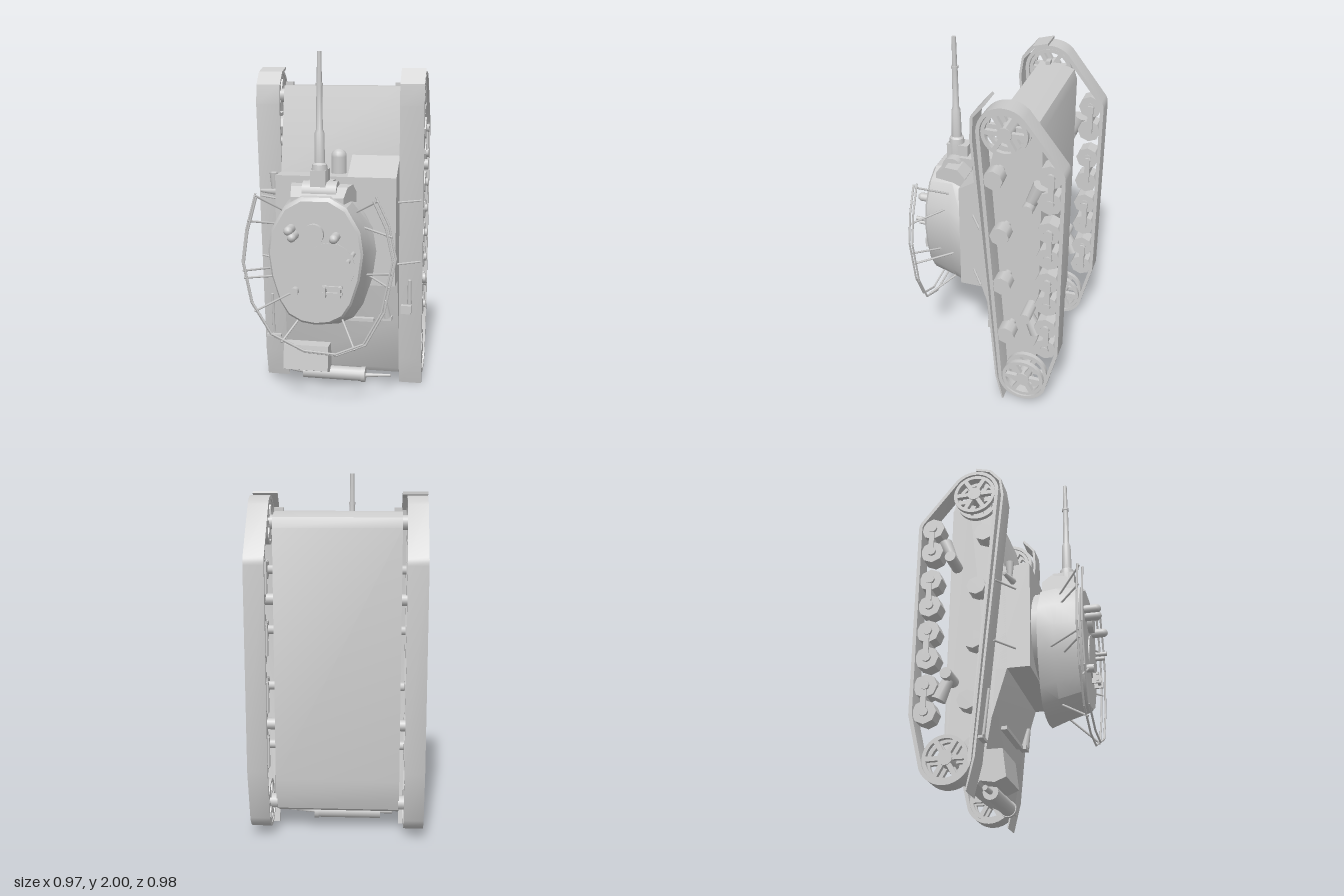
import * as THREE from 'three';
import { toCreasedNormals } from 'three/addons/utils/BufferGeometryUtils.js';

const V = (x, y, z) => new THREE.Vector3(x, y, z);

export function createModel() {
  const root = new THREE.Group();
  const mat = new THREE.MeshStandardMaterial({ color: 0xcccccc, side: THREE.DoubleSide });

  const add = (name, geo, x = 0, y = 0, z = 0) => {
    const m = new THREE.Mesh(geo, mat);
    m.name = name;
    m.position.set(x, y, z);
    root.add(m);
    return m;
  };
  const box = (name, x0, x1, y0, y1, z0, z1) =>
    add(name, new THREE.BoxGeometry(x1 - x0, y1 - y0, z1 - z0), (x0 + x1) / 2, (y0 + y1) / 2, (z0 + z1) / 2);
  // cylinder between two points
  const rod = (name, a, b, r0, r1 = r0, n = 8) => {
    const d = b.clone().sub(a);
    const m = add(name, new THREE.CylinderGeometry(r1, r0, d.length(), n), ...a.clone().add(b).multiplyScalar(0.5));
    m.quaternion.setFromUnitVectors(V(0, 1, 0), d.normalize());
    return m;
  };
  // [z, y] side profile, swept across x
  const toShape = (pts) => new THREE.Shape(pts.map(([z, y]) => new THREE.Vector2(-z, y)));
  const sweep = (name, shape, x0, x1, crease = 0.5) => {
    const g = new THREE.ExtrudeGeometry(shape, { depth: x1 - x0, bevelEnabled: false, curveSegments: 20 });
    g.rotateY(Math.PI / 2);
    return add(name, toCreasedNormals(g, crease), x0, 0, 0);
  };

  // ---- hull ----
  sweep('hull', toShape([
    [-0.12, 1.8], [-0.24, 1.8], [-0.315, 1.775], [-0.333, 1.72], [-0.335, 0.32], [-0.325, 0.22], [-0.3, 0.14],
    [-0.15, 0.07], [-0.13, 0.1], [-0.08, 0.42], [0, 0.69], [-0.02, 1.31],
  ]), -0.345, 0.345, 0.7);
  sweep('superstructure', toShape([[0.125, 0.69], [0.125, 1.31], [-0.06, 1.31], [-0.06, 0.69]]), -0.345, 0.345);
  sweep('driverHood', toShape([[0.125, 1.31], [-0.05, 1.42], [-0.08, 1.31]]), 0.07, 0.345);
  rod('gunBall', V(-0.005, 1.28, -0.025), V(-0.005, 1.405, -0.025), 0.045, 0.045, 16);
  add('gunBallCap', new THREE.SphereGeometry(0.045, 16, 10), -0.005, 1.405, -0.025);
  box('engineVent', -0.16, 0.2, 0.415, 0.435, -0.09, -0.045);
  sweep('rearStowageBox', toShape([[-0.02, 0.25], [0, 0.1], [-0.06, 0.075], [-0.15, 0.09], [-0.12, 0.25]]), -0.345, -0.07);

  // ---- exhaust ----
  rod('muffler', V(-0.24, 0.055, -0.11), V(0.13, 0.055, -0.11), 0.042, 0.042, 16);
  rod('mufflerEnd', V(0.12, 0.055, -0.11), V(0.145, 0.055, -0.11), 0.047, 0.047, 16);
  rod('inletPipe', V(-0.31, 0.06, -0.12), V(-0.24, 0.055, -0.11), 0.015);
  rod('tailpipe', V(0.14, 0.05, -0.11), V(0.3, 0.06, -0.11), 0.014, 0.007);

  // ---- running gear ----
  const wheelY = [1.54, 1.39, 1.21, 1.05, 0.895, 0.74, 0.58, 0.435];
  const rollers = [[-0.11, 1.475], [-0.145, 1.14], [-0.155, 0.82], [-0.18, 0.48]];
  const ends = [[-0.17, 1.74, 0.145], [-0.285, 0.18, 0.143]];
  const loopCircles = [...ends, [-0.41, 1.54, 0.08], [-0.41, 0.435, 0.08]];
  // taut loop around the wheels: the furthest circle point in each direction
  const beltPoints = (inset) => {
    const pts = [];
    for (let i = 0; i < 32; i++) {
      const a = (i / 32) * Math.PI * 2, c = Math.cos(a), s = Math.sin(a);
      const [z, y, r] = loopCircles.reduce((p, q) => (q[0] * c + q[1] * s + q[2] > p[0] * c + p[1] * s + p[2] ? q : p));
      pts.push([z + (r - inset) * c, y + (r - inset) * s]);
    }
    return pts;
  };
  const belt = toShape(beltPoints(0));
  belt.holes.push(toShape(beltPoints(0.02)));

  const spokedDisc = (z, y, r) => {
    const s = new THREE.Shape().absarc(-z, y, r, 0, Math.PI * 2);
    for (let i = 0; i < 6; i++) {
      const a = (i * Math.PI) / 3, h = new THREE.Path();
      h.absarc(-z, y, r * 0.84, a + 0.12, a + 0.92, false);
      h.absarc(-z, y, r * 0.3, a + 0.72, a + 0.32, true);
      h.closePath();
      s.holes.push(h);
    }
    return s;
  };
  // the left fender ends in a raised flap, the right one hugs the track
  const fender = (tipOuter, tipInner) => toShape([
    ...tipOuter, [0.006, 1.7], [-0.125, 0.17], [-0.165, 0], [-0.172, 0.004], [-0.137, 0.17], [-0.008, 1.7], ...tipInner,
  ]);
  const fenders = {
    1: fender([[-0.07, 1.905], [0, 1.82]], [[-0.014, 1.815], [-0.08, 1.893]]),
    [-1]: fender([[-0.16, 1.905], [-0.07, 1.88], [-0.01, 1.81]], [[-0.022, 1.8], [-0.08, 1.868], [-0.16, 1.89]]),
  };

  for (const side of [1, -1]) {
    const span = (a, b) => (side > 0 ? [a, b] : [-b, -a]);
    const X = (x) => x * side;
    const axle = (name, z, y, r, a, b, n) => rod(name, V(X(a), y, z), V(X(b), y, z), r, r, n);

    sweep('track', belt, ...span(0.37, 0.48));
    sweep('fender', fenders[side], ...span(0.345, 0.482));
    for (const [z, y] of ends) {
      sweep('spokedWheel', spokedDisc(z, y, 0.122), ...span(0.445, 0.47));
      sweep('spokedWheel', spokedDisc(z, y, 0.122), ...span(0.375, 0.4));
      axle('wheelHub', z, y, 0.04, 0.34, 0.475, 12);
    }
    for (const y of wheelY) {
      const w = axle('roadWheel', -0.41, y, 0.066, 0.38, 0.465, 8);
      w.geometry = toCreasedNormals(w.geometry, 0.3);
      axle('roadWheelCap', -0.41, y, 0.025, 0.375, 0.48, 8);
    }
    for (let i = 0; i < 8; i += 2) {
      const y = (wheelY[i] + wheelY[i + 1]) / 2;
      box('bogieBeam', ...span(0.365, 0.474), y - 0.085, y + 0.085, -0.43, -0.4);
    }
    for (const [z, y] of rollers) {
      axle('returnRoller', z, y, 0.054, 0.4, 0.475, 8);
      axle('rollerAxle', z, y, 0.025, 0.34, 0.41, 8);
    }
    // suspension units beside the outer bogies
    for (const [y, dir] of [[1.39, -1], [0.58, 1]]) {
      rod('springHousing', V(X(0.42), y + 0.07 * -dir, -0.35), V(X(0.42), y + 0.04 * dir, -0.3), 0.042, 0.03, 10);
      axle('suspensionMount', -0.295, y + 0.055 * dir, 0.032, 0.34, 0.486, 10);
    }
    box('towHook', ...span(0.3, 0.345), 1.78, 1.82, -0.185, -0.16);
    for (const y of [1.16, 0.8]) rod('fenderStay', V(X(0.345), y, 0.045), V(X(0.47), y, -0.04), 0.006);
  }

  // ---- fender fittings ----
  rod('shovelHandle', V(-0.425, 0.3, -0.1), V(-0.425, 0.55, -0.075), 0.008);
  box('shovelBlade', -0.47, -0.38, 0.27, 0.285, -0.12, -0.09);
  rod('jackBody', V(0.41, 0.53, -0.075), V(0.41, 0.68, -0.06), 0.014, 0.01);
  box('jackFoot', 0.36, 0.42, 0.47, 0.52, -0.1, -0.06);
  rod('clampPost', V(0.28, 0.45, -0.05), V(0.27, 0.56, -0.025), 0.025, 0.012);
  box('clampFoot', 0.24, 0.31, 0.43, 0.455, -0.08, -0.035);
  rod('horn', V(-0.38, 1.2, 0.02), V(-0.38, 1.31, 0.02), 0.013, 0.025, 10);
  rod('sideLamp', V(-0.46, 1.2, 0.01), V(-0.36, 1.2, 0.035), 0.01, 0.02, 6);

  // ---- turret shell, lofted from scaled outlines ----
  const half = [[0.3, 1], [0.65, 0.85], [0.93, 0.5], [1, 0.15], [0.93, -0.25], [0.76, -0.65], [0.58, -0.86], [0.3, -0.97]];
  const outline = [...half, [0, -1], ...half.map(([u, v]) => [-u, v]).reverse()].reverse();
  const sections = [ // z, half width, rear y, front y
    [0.165, 0.302, 0.455, 1.23], [0.25, 0.275, 0.485, 1.25], [0.385, 0.262, 0.525, 1.235], [0.4, 0.25, 0.54, 1.215],
  ];
  const n = outline.length, pos = [], idx = [];
  for (const [z, w, y0, y1] of sections)
    for (const [u, v] of outline) pos.push(-0.06 + u * w, (y0 + y1) / 2 + (v * (y1 - y0)) / 2, z);
  for (let s = 0; s < sections.length - 1; s++)
    for (let i = 0; i < n; i++) {
      const a = s * n + i, b = s * n + ((i + 1) % n);
      idx.push(a, b + n, b, a, a + n, b + n);
    }
  for (let i = 1; i < n - 1; i++) {
    const t = (sections.length - 1) * n;
    idx.push(t, t + i + 1, t + i, 0, i, i + 1);
  }
  // the outline runs clockwise seen from above the roof only when reversed, so wind to match
  const area = outline.reduce((sum, [u, v], i) => {
    const [p, q] = outline[(i + 1) % n];
    return sum + u * q - p * v;
  }, 0);
  if (area > 0) idx.reverse();
  const shell = new THREE.BufferGeometry();
  shell.setAttribute('position', new THREE.Float32BufferAttribute(pos, 3));
  shell.setIndex(idx);
  add('turretShell', toCreasedNormals(shell, 0.5));
  rod('turretRing', V(-0.055, 0.96, 0.11), V(-0.055, 0.96, 0.18), 0.27, 0.27, 32);

  // ---- gun ----
  const shield = sweep('gunShield', toShape([
    [0.17, 1.15], [0.17, 1.24], [0.22, 1.285], [0.3, 1.28], [0.36, 1.23], [0.36, 1.15],
  ]), -0.2, 0.09);
  // cheeks widen toward the turret base
  const sp = shield.geometry.attributes.position;
  for (let i = 0; i < sp.count; i++)
    sp.setX(i, sp.getX(i) + Math.sign(sp.getX(i) - 0.145) * 0.2 * (0.36 - sp.getZ(i)));
  shield.geometry = toCreasedNormals(shield.geometry, 0.5);
  rod('mantlet', V(-0.145, 1.25, 0.28), V(0.045, 1.25, 0.28), 0.06, 0.06, 20);
  box('mantletBlock', -0.098, -0.014, 1.26, 1.37, 0.205, 0.33);
  box('shieldTop', -0.125, 0.01, 1.24, 1.305, 0.17, 0.245);
  const barrel = [[0, 1.28], [0.046, 1.28], [0.046, 1.36], [0.04, 1.4], [0.029, 1.41], [0.026, 1.57], [0.018, 1.59],
    [0.016, 1.82], [0.02, 1.82], [0.02, 1.835], [0.014, 1.835], [0.012, 2], [0.007, 2], [0.007, 1.95], [0, 1.95]];
  add('gunBarrel', toCreasedNormals(new THREE.LatheGeometry(barrel.map((p) => new THREE.Vector2(...p)), 18), 0.6), -0.055, 0, 0.283);

  // ---- roof fittings ----
  const upright = (name, x, y, z0, z1, r) => rod(name, V(x, y, z0), V(x, y, z1), r, r, 18);
  upright('ventCap', -0.065, 1.04, 0.395, 0.43, 0.057);
  upright('roofHatch', 0.025, 0.86, 0.395, 0.407, 0.135);
  for (const [x, y] of [[-0.19, 1.065], [-0.172, 1.03], [0.055, 1.03]]) {
    upright('periscope', x, y, 0.39, 0.468, 0.025);
    add('periscopeCap', new THREE.SphereGeometry(0.025, 14, 8), x, y, 0.468);
  }
  upright('aerialBase', -0.17, 0.72, 0.39, 0.44, 0.022);
  for (const x of [0, 0.08]) box('hatchHandlePost', x - 0.006, x + 0.006, 0.7, 0.76, 0.4, 0.45);
  for (const y of [0.72, 0.755]) box('hatchHandle', -0.015, 0.095, y - 0.007, y + 0.007, 0.425, 0.44);
  upright('hatchStop', 0.125, 0.9, 0.39, 0.46, 0.012);
  upright('hatchStop', 0.15, 0.94, 0.39, 0.47, 0.012);

  // ---- cage rails around the turret ----
  const rail = [[-0.385, 1.25], [-0.44, 1.05], [-0.465, 0.87], [-0.42, 0.64], [-0.31, 0.46], [-0.12, 0.37],
    [0.06, 0.36], [0.22, 0.43], [0.32, 0.62], [0.38, 0.92], [0.34, 1.1], [0.27, 1.25]];
  for (const [k, z] of [[1, 0.4], [0.965, 0.425]]) {
    const pts = rail.map(([x, y]) => V(-0.045 + (x + 0.045) * k, 0.8 + (y - 0.8) * k, z));
    for (let i = 0; i < pts.length - 1; i++) rod('cageRail', pts[i], pts[i + 1], 0.006, 0.006, 6);
  }
  const struts = [ // rail x, y, then turret x, y, z
    [-0.385, 1.24, -0.24, 1.12, 0.25], [-0.43, 1.1, -0.28, 1.06, 0.27], [-0.46, 0.82, -0.31, 0.8, 0.22],
    [-0.455, 0.78, -0.3, 0.77, 0.3], [-0.4, 0.59, -0.17, 0.72, 0.41], [-0.25, 0.42, -0.17, 0.53, 0.25],
    [0.16, 0.4, 0.06, 0.53, 0.25], [0.35, 0.76, 0.2, 0.78, 0.22], [0.36, 0.84, 0.21, 0.8, 0.3],
    [0.36, 1.04, 0.17, 1.06, 0.26], [0.28, 1.23, 0.13, 1.13, 0.25],
  ];
  for (const [x, y, tx, ty, tz] of struts) rod('cageStrut', V(x, y, 0.41), V(tx, ty, tz), 0.006, 0.006, 6);

  return root;
}
